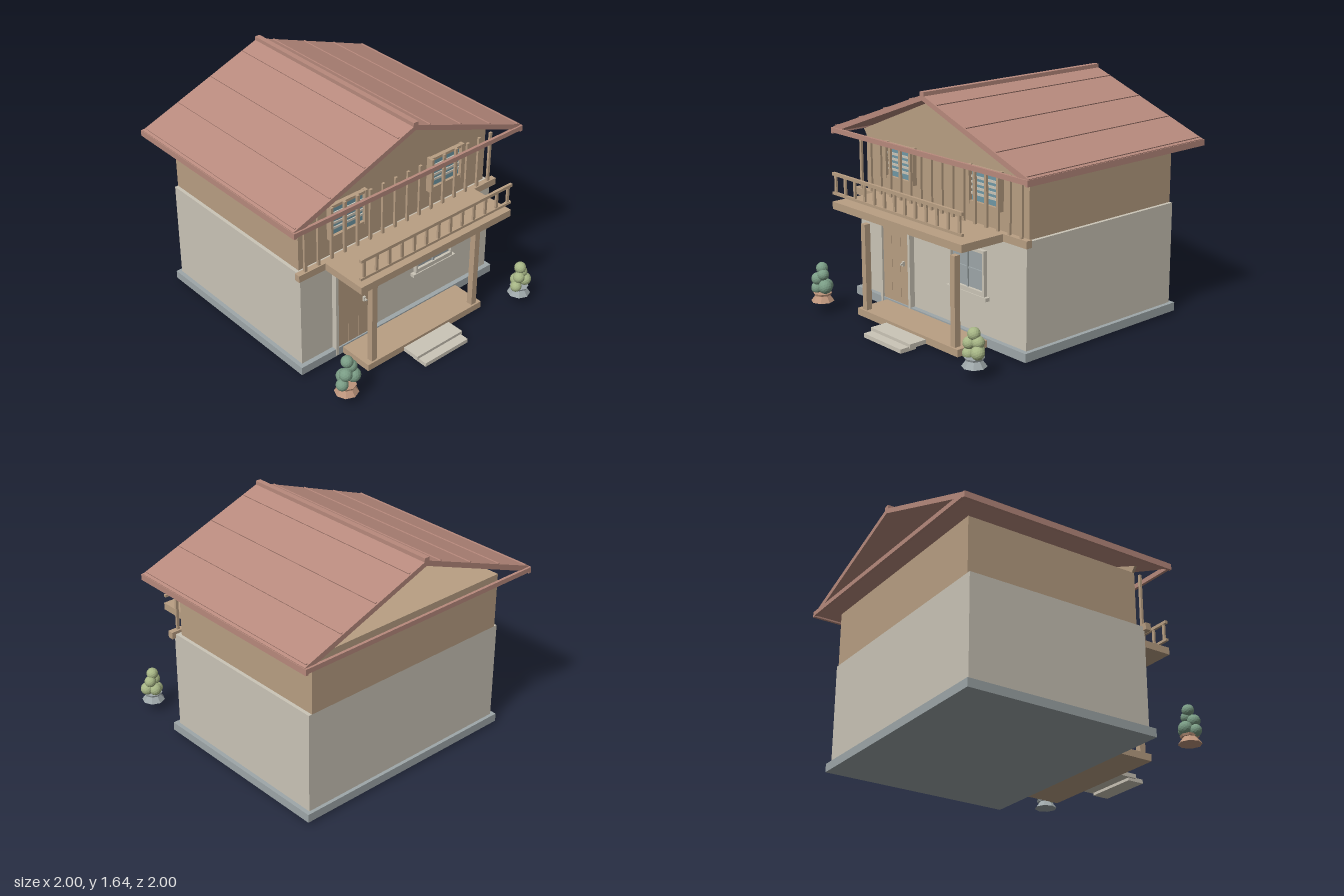
import * as THREE from 'three';

const mat = (name, color) => {
  const m = new THREE.MeshStandardMaterial({ color });
  m.name = name;
  return m;
};

export function createModel() {
  const house = new THREE.Group();
  house.name = 'house';

  const plaster = mat('plaster', 0xcbc5b7);
  const wood = mat('wood', 0xb99f83);
  const tile = mat('roofTile', 0xb88a7d);
  const stone = mat('greyStone', 0x9ea7a9);
  const glass = mat('blueGlass', 0x6f98a5);
  const clay = mat('clay', 0xbd957c);
  const darkLeaf = mat('darkLeaf', 0x7a9c85);
  const lightLeaf = mat('lightLeaf', 0xa6b585);
  darkLeaf.flatShading = lightLeaf.flatShading = clay.flatShading = stone.flatShading = true;

  const add = (name, geo, material, parent = house) => {
    const mesh = new THREE.Mesh(geo, material);
    mesh.name = name;
    parent.add(mesh);
    return mesh;
  };
  // Box given by its low and high limits on each axis
  const box = (name, material, x0, x1, y0, y1, z0, z1, parent) => {
    const geo = new THREE.BoxGeometry(x1 - x0, y1 - y0, z1 - z0);
    geo.translate((x0 + x1) / 2, (y0 + y1) / 2, (z0 + z1) / 2);
    return add(name, geo, material, parent);
  };
  const group = (name) => {
    const g = new THREE.Group();
    g.name = name;
    house.add(g);
    return g;
  };
  // Outline in x, y extruded from z0 to z1
  const prism = (name, material, points, z0, z1, parent) => {
    const shape = new THREE.Shape(points.map(([x, y]) => new THREE.Vector2(x, y)));
    const geo = new THREE.ExtrudeGeometry(shape, { depth: z1 - z0, bevelEnabled: false });
    geo.translate(0, 0, z0);
    return add(name, geo, material, parent);
  };

  // Main volumes
  box('foundation', stone, -0.885, 0.885, 0.02, 0.08, -0.885, 0.545);
  box('lowerWalls', plaster, -0.855, 0.855, 0.08, 0.8, -0.86, 0.51);
  box('upperWalls', wood, -0.83, 0.83, 0.8, 1.2, -0.86, 0.465);
  prism('frontGable', wood,
    [[-0.83, 1.2], [0.83, 1.2], [0.86, 1.235], [0, 1.585], [-0.86, 1.235]], 0.445, 0.465);

  // Roof: two slabs, seams, ridge cap and a frame round the eaves
  const roof = group('roof');
  const roofY = (x) => 1.62 - 0.37 * Math.abs(x);
  for (const s of [-1, 1]) {
    prism('roofSlab', tile,
      [[0, 1.62], [s * 0.995, roofY(0.995)], [s * 0.985, roofY(0.995) - 0.037], [0, 1.583]],
      -0.985, 0.635, roof);
    for (const x of [0.135, 0.415, 0.695, 0.97]) {
      const seam = add('roofSeam', new THREE.BoxGeometry(0.012, 0.014, 1.6), tile, roof);
      seam.position.set(s * x, roofY(x), -0.175);
      seam.rotation.z = -s * Math.atan(0.37);
    }
    box('sideFascia', tile, s * 0.99 - 0.01, s * 0.99 + 0.01, 1.205, 1.248, -1, 0.647, roof);
  }
  box('ridgeCap', tile, -0.02, 0.02, 1.59, 1.64, -0.985, 0.635, roof);
  box('frontTieBeam', tile, -0.98, 0.98, 1.213, 1.247, 0.627, 0.647, roof);
  box('backTieBeam', tile, -0.98, 0.98, 1.213, 1.247, -1, -0.98, roof);

  // Upper front: beam and upright battens
  box('floorBeam', wood, -0.885, 0.885, 0.77, 0.82, 0.497, 0.54);
  const battens = group('battens');
  for (let i = 0; i < 16; i++) {
    const x = -0.82 + i * 0.1093;
    box('batten', wood, x - 0.01, x + 0.01, 0.815, 1.205, 0.513, 0.53, battens);
  }

  // Balcony
  const balcony = group('balcony');
  box('balconyFloor', wood, -0.67, 0.67, 0.768, 0.82, 0.54, 0.885, balcony);
  box('topRail', wood, -0.67, 0.67, 1.003, 1.025, 0.862, 0.882, balcony);
  box('bottomRail', wood, -0.67, 0.67, 0.87, 0.888, 0.862, 0.882, balcony);
  for (let i = 0; i < 13; i++) {
    const x = -0.64 + i * 1.28 / 12;
    box('baluster', wood, x - 0.01, x + 0.01, 0.885, 1.005, 0.865, 0.879, balcony);
  }

  // Upper windows with slats
  for (const s of [-1, 1]) {
    const win = group(s < 0 ? 'upperRightWindow' : 'upperLeftWindow');
    const c = s * 0.435;
    box('pane', glass, c - 0.137, c + 0.137, 0.95, 1.18, 0.465, 0.474, win);
    for (const k of [-1, 1]) {
      const x = c + k * 0.147;
      box('frameSide', wood, x - 0.012, x + 0.012, 0.935, 1.195, 0.465, 0.5, win);
    }
    box('frameTop', wood, c - 0.14, c + 0.14, 1.17, 1.19, 0.465, 0.495, win);
    box('frameBottom', wood, c - 0.14, c + 0.14, 0.937, 0.957, 0.465, 0.495, win);
    for (let i = 0; i < 4; i++) {
      const y = 1.005 + i * 0.037;
      box('slat', plaster, c - 0.135, c + 0.135, y - 0.008, y + 0.008, 0.474, 0.482, win);
    }
  }

  // Lower window
  const low = group('lowerWindow');
  box('pane', stone, 0.155, 0.47, 0.375, 0.645, 0.51, 0.518, low);
  box('frameLeft', plaster, 0.47, 0.485, 0.35, 0.66, 0.51, 0.538, low);
  box('frameRight', plaster, 0.14, 0.157, 0.35, 0.66, 0.51, 0.538, low);
  box('frameTop', plaster, 0.157, 0.47, 0.64, 0.66, 0.51, 0.538, low);
  box('frameBottom', plaster, 0.157, 0.47, 0.35, 0.38, 0.51, 0.538, low);
  box('uprightBar', stone, 0.305, 0.319, 0.38, 0.64, 0.518, 0.53, low);
  box('crossBar', stone, 0.157, 0.47, 0.505, 0.517, 0.518, 0.528, low);
  box('sill', plaster, 0.115, 0.51, 0.325, 0.35, 0.51, 0.545, low);

  // Door
  const door = group('door');
  for (const [x0, x1] of [[-0.57, -0.477], [-0.475, -0.382], [-0.38, -0.285]])
    box('doorPlank', wood, x0, x1, 0.07, 0.7, 0.51, 0.535, door);
  box('doorBacking', wood, -0.57, -0.285, 0.07, 0.7, 0.51, 0.528, door);
  box('jambRight', plaster, -0.592, -0.57, 0.03, 0.7, 0.51, 0.55, door);
  box('jambLeft', plaster, -0.285, -0.262, 0.03, 0.7, 0.51, 0.55, door);
  box('lintel', plaster, -0.6, -0.252, 0.698, 0.727, 0.51, 0.552, door);
  box('handlePlate', plaster, -0.35, -0.332, 0.362, 0.395, 0.535, 0.552, door);
  box('handle', plaster, -0.347, -0.335, 0.372, 0.384, 0.552, 0.568, door);

  // Porch, posts and steps
  const porch = group('porch');
  box('porchFloor', wood, -0.53, 0.525, 0.02, 0.07, 0.545, 0.8, porch);
  for (const s of [-1, 1])
    box('post', wood, s * 0.466 - 0.022, s * 0.466 + 0.022, 0.07, 0.683, 0.742, 0.787, porch);
  box('upperStep', plaster, -0.21, 0.21, 0.02, 0.05, 0.8, 0.932, porch);
  box('lowerStep', plaster, -0.197, 0.197, 0, 0.029, 0.875, 1, porch);

  // Potted shrubs: flared pot with rim and round clumps [x, y, z, radius]
  const shrub = (name, x, potMat, leafMat, clumps) => {
    const g = group(name);
    g.position.set(x, 0, 0.9);
    add('pot', new THREE.CylinderGeometry(0.045, 0.082, 0.05, 8), potMat, g).position.y = 0.1;
    add('potRim', new THREE.CylinderGeometry(0.066, 0.06, 0.015, 8), potMat, g).position.y = 0.128;
    for (const [cx, cy, cz, r] of clumps)
      add('leafClump', new THREE.IcosahedronGeometry(r, 2), leafMat, g).position.set(cx, cy, cz);
  };
  shrub('rightShrub', -0.805, clay, darkLeaf, [
    [0.003, 0.315, 0, 0.042], [-0.025, 0.235, 0.02, 0.045], [0.03, 0.275, 0.01, 0.041],
    [0.05, 0.19, 0.01, 0.05], [-0.048, 0.16, 0.012, 0.042], [0, 0.18, -0.035, 0.048]]);
  shrub('leftShrub', 0.803, stone, lightLeaf, [
    [-0.003, 0.287, 0, 0.042], [-0.03, 0.225, 0.018, 0.041], [0.025, 0.235, -0.01, 0.042],
    [0.043, 0.175, 0.01, 0.046], [-0.045, 0.15, 0.01, 0.04], [0, 0.17, -0.03, 0.045]]);

  return house;
}
